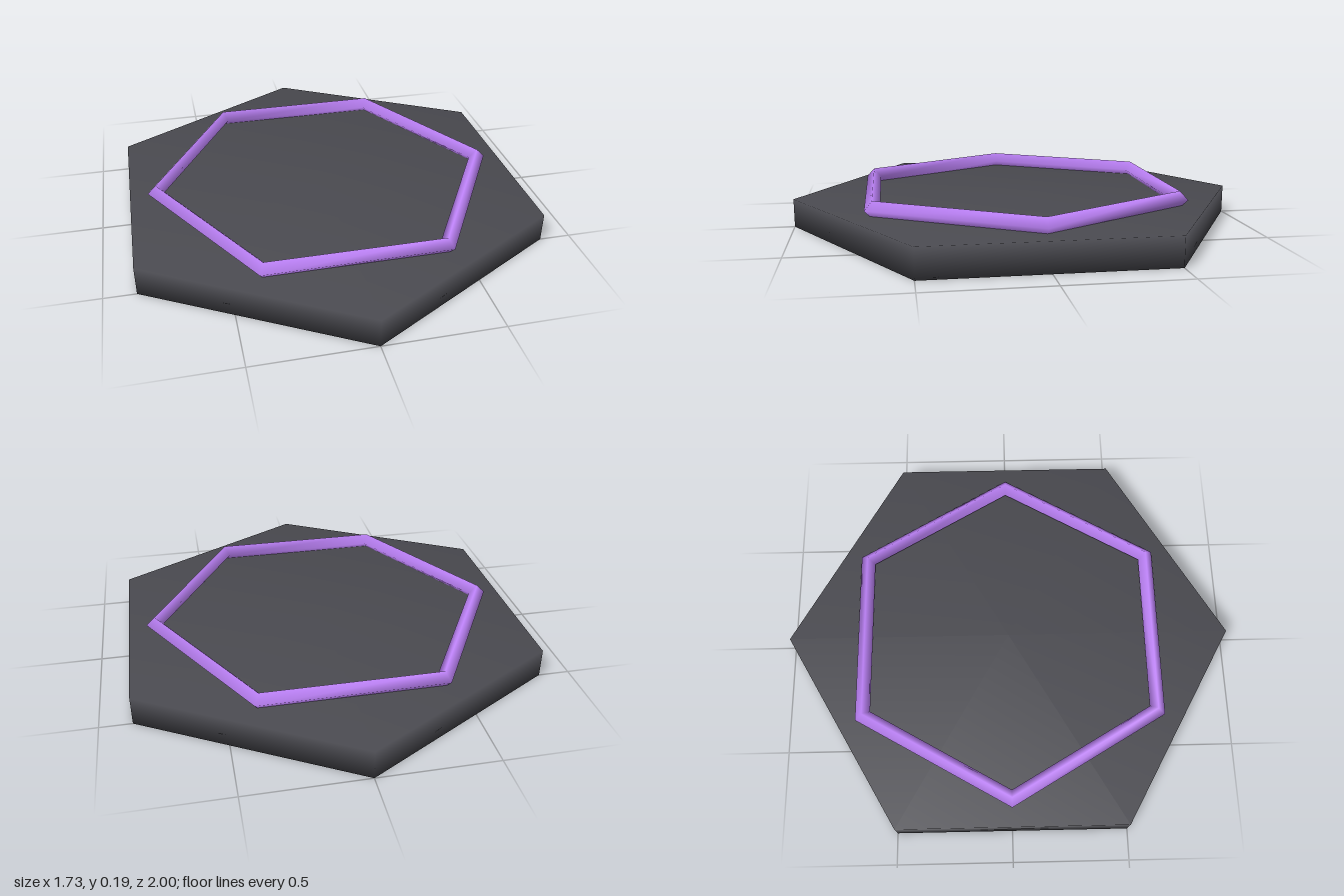
import * as THREE from 'three';
import { mergeVertices } from 'three/addons/utils/BufferGeometryUtils.js';

// Weld shared corners so the shading runs softly across the edges
function softened(geometry) {
  geometry.deleteAttribute('uv');
  geometry.deleteAttribute('normal');
  const welded = mergeVertices(geometry);
  welded.computeVertexNormals();
  return welded;
}

function addPart(group, name, geometry, color) {
  const mesh = new THREE.Mesh(softened(geometry), new THREE.MeshStandardMaterial({ color }));
  mesh.name = name;
  group.add(mesh);
  return mesh;
}

export function createModel() {
  const group = new THREE.Group();
  group.name = 'hexagonalPlatform';

  // Hexagonal slab with corners pointing to front and back
  const slabHeight = 0.125;
  const slab = addPart(group, 'slab', new THREE.CylinderGeometry(1, 1, slabHeight, 6), 0x4a4a50);
  slab.position.y = slabHeight / 2;

  // Six-sided ring of diamond section, corners pointing left and right
  const ring = addPart(group, 'ring', new THREE.TorusGeometry(0.75, 0.0375, 4, 6), 0xc084fc);
  ring.rotation.x = -Math.PI / 2;
  ring.position.y = 0.15;

  return group;
}
